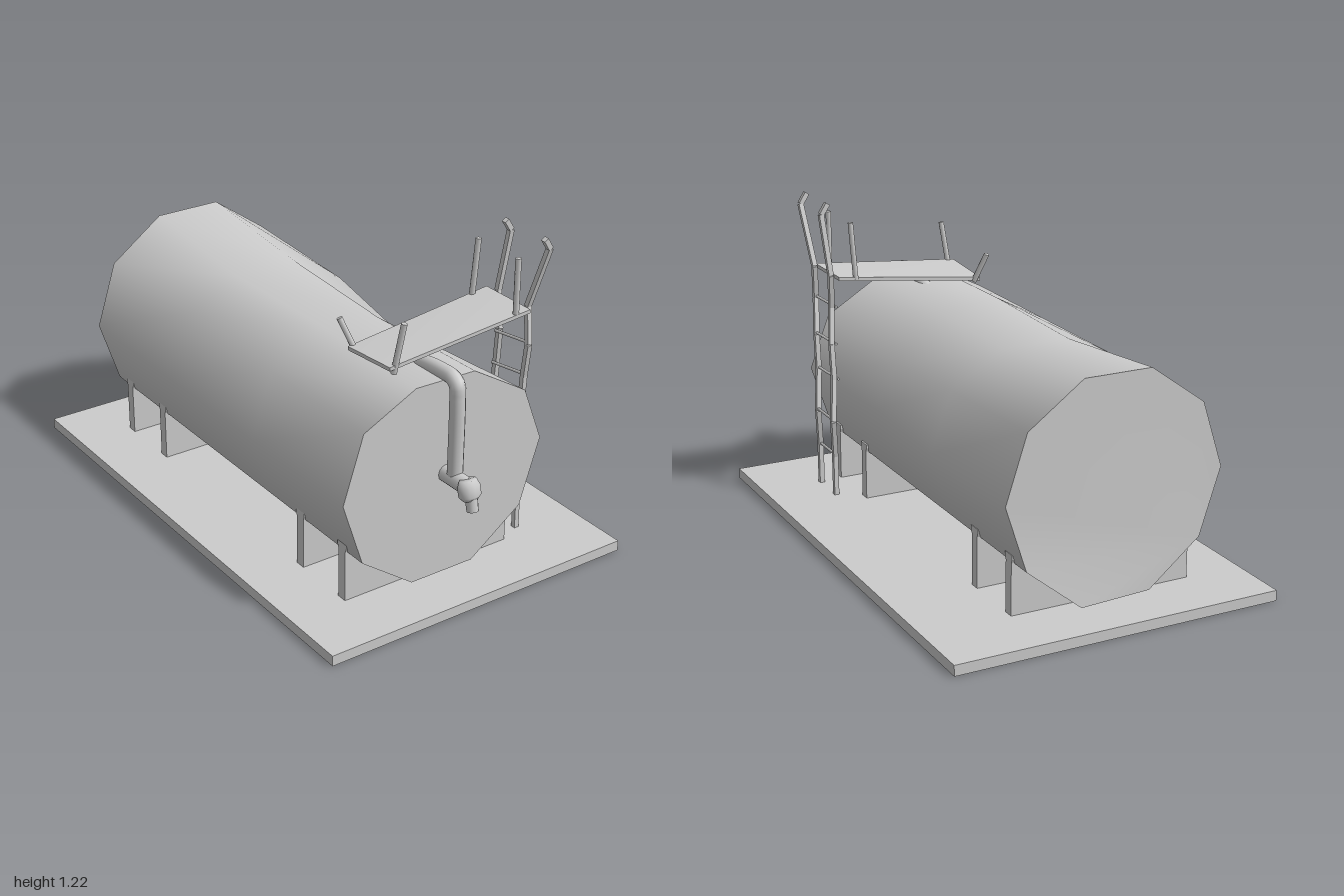
import * as THREE from 'three';
import { toCreasedNormals } from 'three/addons/utils/BufferGeometryUtils.js';

const material = new THREE.MeshStandardMaterial({ color: 0xcccccc, side: THREE.DoubleSide });
const V = (x, y, z) => new THREE.Vector3(x, y, z);

function add(parent, name, geometry) {
  const mesh = new THREE.Mesh(geometry, material);
  mesh.name = name;
  parent.add(mesh);
  return mesh;
}

// Place a unit-height geometry so that it runs from a to b
function span(parent, name, geometry, a, b) {
  const mesh = add(parent, name, geometry);
  mesh.scale.y = a.distanceTo(b);
  mesh.position.copy(a).lerp(b, 0.5);
  mesh.quaternion.setFromUnitVectors(V(0, 1, 0), b.clone().sub(a).normalize());
}

// Ten-sided tank, four rings from front to back, with dents in its upper right
function tankGeometry() {
  const n = 10;
  const dents = [
    { 1: [0, -0.038, 0], 2: [-0.015, -0.053, 0], 3: [0, -0.048, 0] },
    { 0: [-0.037, -0.01, 0], 1: [-0.045, -0.095, 0], 2: [-0.015, -0.07, 0], 3: [0, -0.04, 0] },
    { 1: [0, -0.025, 0], 2: [0, -0.055, 0], 3: [0, -0.053, 0] },
    { 7: [0, 0, -0.018], 8: [0.02, 0, -0.04] },
  ];
  const points = [], index = [];
  [0.832, 0.28, -0.28, -0.845].forEach((z, r) => {
    for (let i = 0; i < n; i++) {
      const a = (i / n) * Math.PI * 2, d = dents[r][i] || [0, 0, 0];
      points.push(-0.058 + 0.422 * Math.cos(a) + d[0], 0.48 + 0.422 * Math.sin(a) + d[1], z + d[2]);
    }
  });
  for (let r = 0; r < 3; r++) {
    for (let i = 0; i < n; i++) {
      const j = (i + 1) % n, a = r * n + i, d = r * n + j;
      index.push(a, a + n, d + n, a, d + n, d);
    }
  }
  // End caps, fanned from the lower left corner
  for (let i = 1; i < n - 1; i++) {
    const a = (6 + i) % n, b = (7 + i) % n;
    index.push(6, a, b, 3 * n + 6, 3 * n + b, 3 * n + a);
  }
  const g = new THREE.BufferGeometry();
  g.setAttribute('position', new THREE.Float32BufferAttribute(points, 3));
  g.setIndex(index);
  return toCreasedNormals(g, 0.85);
}

export function createModel() {
  const model = new THREE.Group();

  // Ground tray: top and four rims, open underneath
  const tray = new THREE.BoxGeometry(1.26, 0.04, 1.99);
  const faces = Array.from(tray.index.array);
  faces.splice(18, 6);
  tray.setIndex(faces);
  tray.clearGroups();
  add(model, 'base', tray).position.set(0, 0.02, -0.005);

  add(model, 'tank', tankGeometry());

  // Upright plates with a flared head under the tank
  const side = [[-0.02, 0.04], [0.02, 0.04], [0.02, 0.235], [0.026, 0.25], [0.026, 0.265],
    [-0.026, 0.265], [-0.026, 0.25], [-0.02, 0.235]];
  const plate = new THREE.ExtrudeGeometry(
    new THREE.Shape(side.map(([z, y]) => new THREE.Vector2(z, y))),
    { depth: 0.706, bevelEnabled: false });
  plate.rotateY(Math.PI / 2).translate(-0.41, 0, 0);
  for (const z of [0.727, 0.472, -0.486, -0.74]) add(model, 'support', plate).position.z = z;

  // Outlet pipe over the front edge and down
  const pipeX = -0.053;
  const pipe = new THREE.CatmullRomCurve3(
    [[0.79, 0.56], [0.835, 0.7], [0.846, 0.82], [0.844, 0.855], [0.825, 0.877], [0.78, 0.881], [0.47, 0.881]]
      .map(([y, z]) => V(pipeX, y, z)), false, 'centripetal');
  add(model, 'outletPipe', new THREE.TubeGeometry(pipe, 40, 0.028, 12));

  // Spout: stub from the tank, bent collar and narrow nozzle
  const spout = new THREE.Group();
  spout.name = 'spout';
  model.add(spout);
  const stub = new THREE.CatmullRomCurve3(
    [[0.472, 0.82], [0.472, 0.925], [0.469, 0.945], [0.457, 0.958], [0.436, 0.966]]
      .map(([y, z]) => V(pipeX, y, z)), false, 'centripetal');
  add(spout, 'spoutPipe', new THREE.TubeGeometry(stub, 24, 0.032, 12));
  const collar = add(spout, 'collar', new THREE.LatheGeometry(
    [[0, -0.035], [0.028, -0.035], [0.042, -0.02], [0.042, 0.015], [0.032, 0.038], [0, 0.038]]
      .map(([r, y]) => new THREE.Vector2(r, y)), 12));
  collar.position.set(pipeX, 0.465, 0.96);
  collar.scale.z = 0.8;
  collar.rotation.x = -0.25;
  const nozzle = add(spout, 'nozzle', new THREE.CylinderGeometry(0.022, 0.021, 0.06, 12));
  nozzle.position.set(pipeX, 0.424, 0.976);
  nozzle.rotation.x = -0.2;

  // Sloping, slightly twisted platform
  const deck = new THREE.BoxGeometry(0.6, 0.014, 0.24);
  const p = deck.attributes.position;
  for (let i = 0; i < p.count; i++) {
    const left = p.getX(i) < 0, front = p.getZ(i) > 0;
    p.setY(i, p.getY(i) + (left ? (front ? 0.876 : 0.858) : 0.93));
  }
  deck.translate(0.07, 0, 0.62);
  deck.computeVertexNormals();
  add(model, 'platform', deck);

  // Leaning corner posts
  const round = new THREE.CylinderGeometry(0.011, 0.011, 1, 8);
  const posts = [
    [V(0.313, 0.92, 0.73), V(0.313, 1.14, 0.73)],
    [V(0.298, 0.92, 0.508), V(0.312, 1.14, 0.516)],
    [V(-0.205, 0.85, 0.728), V(-0.185, 1.038, 0.755)],
    [V(-0.205, 0.85, 0.505), V(-0.243, 0.963, 0.468)],
  ];
  for (const [a, b] of posts) span(model, 'post', round, a, b);

  // Crooked ladder: height, x, z of the front rail, z of the rear rail
  const ladder = new THREE.Group();
  ladder.name = 'ladder';
  model.add(ladder);
  const stations = [
    [0.04, 0.385, 0.7, 0.55], [0.2, 0.385, 0.7, 0.55], [0.36, 0.407, 0.66, 0.507],
    [0.52, 0.386, 0.695, 0.54], [0.66, 0.388, 0.702, 0.55], [0.8, 0.373, 0.735, 0.577],
    [0.935, 0.386, 0.707, 0.545], [1.17, 0.408, 0.778, 0.572], [1.21, 0.382, 0.78, 0.572],
  ];
  const square = new THREE.BoxGeometry(0.019, 1, 0.019);
  for (const k of [2, 3]) {
    for (let i = 0; i < stations.length - 1; i++) {
      const s = stations[i], t = stations[i + 1];
      span(ladder, 'rail', square, V(s[1], s[0], s[k]), V(t[1], t[0], t[k]));
    }
  }

  // Thin rungs; the upper three slant inward towards the rear rail
  const thin = new THREE.CylinderGeometry(0.006, 0.006, 1, 6);
  stations.slice(1, 6).forEach(([y, x, front, rear], i) => {
    const slant = i < 2 ? 0 : 0.02;
    span(ladder, 'rung', thin, V(x, y + 0.008, front), V(x - slant, y + 0.008 - slant / 2, rear));
  });

  return model;
}
